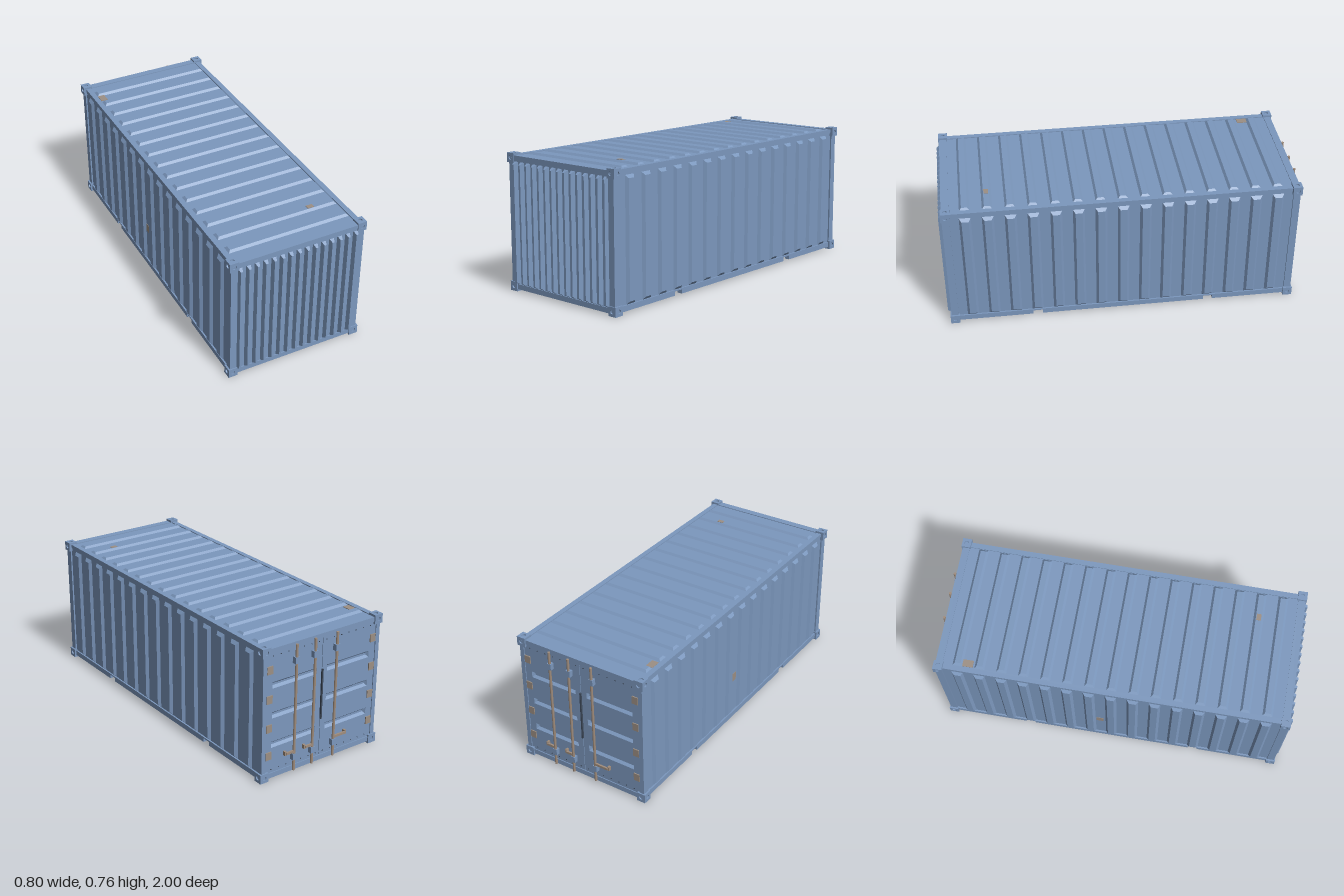
import * as THREE from 'three';

const mat = (name, color) => Object.assign(new THREE.MeshStandardMaterial({ color }), { name });

export function createModel() {
  const model = new THREE.Group();
  model.name = 'shippingContainer';
  const paint = mat('blue paint', 0x7c98be);
  const steel = mat('tan steel', 0xa08d7d);
  const rust = mat('worn patch', 0x9c8f84);
  const dark = mat('dark gasket', 0x3f4b5c);

  const add = (name, geo, material, x, y, z, parent = model) => {
    const m = new THREE.Mesh(geo, material);
    m.name = name;
    m.position.set(x, y, z);
    parent.add(m);
    return m;
  };
  // Box given by its two extreme corners
  const span = (name, x0, x1, y0, y1, z0, z1, material = paint) =>
    add(name, new THREE.BoxGeometry(x1 - x0, y1 - y0, z1 - z0), material,
      (x0 + x1) / 2, (y0 + y1) / 2, (z0 + z1) / 2);

  // Open-backed tapered pressing on the xy plane; negative depth makes a recess
  const pressing = (w, h, insetX, insetY, depth) => {
    const ring = (a, b, z) => [[-a, -b, z], [a, -b, z], [a, b, z], [-a, b, z]];
    const lo = ring(w / 2, h / 2, 0), hi = ring(w / 2 - insetX, h / 2 - insetY, depth);
    const p = [];
    const quad = (a, b, c, d) => p.push(...a, ...b, ...c, ...a, ...c, ...d);
    quad(...hi);
    for (let i = 0; i < 4; i++) {
      const j = (i + 1) % 4;
      quad(lo[i], lo[j], hi[j], hi[i]);
    }
    const g = new THREE.BufferGeometry();
    g.setAttribute('position', new THREE.Float32BufferAttribute(p, 3));
    g.computeVertexNormals();
    return g;
  };

  // Body shell and raised floor
  span('body', -0.381, 0.381, 0.037, 0.749, -0.955, 0.975);

  // Corrugations on both sides and the roof
  const sideRib = pressing(0.064, 0.677, 0.013, 0.017, 0.015);
  const roofRib = pressing(0.706, 0.056, 0.012, 0.012, 0.012);
  for (let i = 0; i < 15; i++) {
    const z = 0.857 - i * 0.1224;
    for (const s of [-1, 1])
      add('sideRib', sideRib, paint, s * 0.381, 0.382, z).rotation.y = s * Math.PI / 2;
    add('roofRib', roofRib, paint, 0, 0.749, z).rotation.x = -Math.PI / 2;
  }
  // Corrugations on the front wall
  const frontRib = pressing(0.026, 0.682, 0.007, 0.015, 0.025);
  for (let i = 0; i < 15; i++)
    add('frontRib', frontRib, paint, -0.339 + i * 0.0484, 0.381, 0.975);

  // Frame: posts, rails, and fork pockets left open in the lower rails
  for (const s of [-1, 1]) {
    const side = (name, a, b, ...r) => span(name, Math.min(s * a, s * b), Math.max(s * a, s * b), ...r);
    side('frontPost', 0.352, 0.39, 0.04, 0.74, 0.94, 0.981);
    side('backPost', 0.365, 0.39, 0.04, 0.74, -0.98, -0.94);
    side('topRail', 0.355, 0.385, 0.735, 0.754, -0.95, 0.95);
    side('bottomRail', 0.36, 0.39, 0.036, 0.044, -0.95, 0.95);
    for (const [a, b] of [[-0.95, -0.518], [-0.464, 0.464], [0.518, 0.95]])
      side('bottomRail', 0.36, 0.39, 0.013, 0.037, a, b);
  }
  span('frontHeader', -0.36, 0.36, 0.721, 0.753, 0.94, 0.982);
  span('frontSill', -0.36, 0.36, 0.012, 0.041, 0.95, 0.982);
  span('backHeader', -0.366, 0.366, 0.727, 0.753, -0.98, -0.94);
  span('backSill', -0.366, 0.366, 0.012, 0.041, -0.98, -0.95);

  // Corner castings: a core wrapped in six plates with round lifting holes
  const face = new THREE.Shape([[-1, -1], [1, -1], [1, 1], [-1, 1]].map(
    ([x, y]) => new THREE.Vector2(x * 0.026, y * 0.026)));
  face.holes.push(new THREE.Path().absarc(0, 0, 0.012, 0, Math.PI * 2, true));
  const plate = new THREE.ExtrudeGeometry(face, { depth: 0.008, bevelEnabled: false, curveSegments: 10 });
  plate.translate(0, 0, 0.018);
  const core = new THREE.BoxGeometry(0.037, 0.037, 0.037);
  for (const x of [-0.374, 0.374]) for (const y of [0.026, 0.739]) for (const z of [-0.961, 0.961]) {
    const casting = new THREE.Group();
    casting.name = 'cornerCasting';
    casting.position.set(x, y, z);
    add('castingCore', core, paint, 0, 0, 0, casting);
    for (let i = 0; i < 4; i++)
      add('castingPlate', plate, paint, 0, 0, 0, casting).rotation.y = i * Math.PI / 2;
    for (const s of [-1, 1])
      add('castingPlate', plate, paint, 0, 0, 0, casting).rotation.x = s * Math.PI / 2;
    model.add(casting);
  }

  // Doors: one leaf each side with three pressed-in panels
  const rows = [0.205, 0.375, 0.545];
  const recess = pressing(0.29, 0.036, 0.01, 0.012, -0.014);
  const rect = (C, x, y, w, h) => new C([[-1, -1], [1, -1], [1, 1], [-1, 1]].map(
    ([a, b]) => new THREE.Vector2(x + a * w / 2, y + b * h / 2)));
  for (const s of [-1, 1]) {
    const leaf = rect(THREE.Shape, s * 0.1835, 0.384, 0.364, 0.686);
    for (const y of rows) leaf.holes.push(rect(THREE.Path, s * 0.18, y, 0.29, 0.036));
    add('door', new THREE.ExtrudeGeometry(leaf, { depth: 0.02, bevelEnabled: false }), paint, 0, 0, -0.975);
    for (const y of rows)
      add('doorRecess', recess, paint, s * 0.18, y, -0.975).rotation.y = Math.PI;
    // Hinges
    for (const y of [0.145, 0.305, 0.47, 0.635])
      span('hinge', s * 0.345 - 0.018, s * 0.345 + 0.018, y - 0.022, y + 0.022, -0.981, -0.974, rust);
  }
  span('doorSeam', -0.004, 0.004, 0.26, 0.55, -0.985, -0.974, dark);

  // Rivets along the door edges
  const rivet = new THREE.CylinderGeometry(0.003, 0.003, 0.004, 6).rotateX(Math.PI / 2);
  for (let i = 0; i < 14; i++) for (const y of [0.06, 0.71])
    add('rivet', rivet, dark, -0.325 + i * 0.05, y, -0.976);

  // Locking rods with guides and handles
  const rod = new THREE.CylinderGeometry(0.0075, 0.0075, 0.725, 10);
  for (const [x, reach] of [[0.185, 0.055], [0.062, 0.05], [-0.084, -0.085]]) {
    add('lockRod', rod, steel, x, 0.381, -0.9915);
    for (const y of [0.1, 0.655])
      span('rodGuide', x - 0.013, x + 0.013, y - 0.018, y + 0.018, -0.9995, -0.974);
    span('rodHandle', Math.min(x, x + reach), Math.max(x, x + reach), 0.125, 0.138, -0.998, -0.988, steel);
    span('handleCatch', x + reach - 0.006, x + reach + 0.006, 0.12, 0.143, -0.992, -0.974, steel);
  }

  // Worn paint patches
  span('rightPatch', 0.38, 0.383, 0.525, 0.565, 0.255, 0.275, rust);
  span('leftPatch', -0.383, -0.38, 0.25, 0.3, -0.085, -0.045, rust);
  span('roofPatch', -0.352, -0.312, 0.748, 0.752, -0.83, -0.772, rust);
  span('roofPatch', 0.187, 0.225, 0.759, 0.763, 0.722, 0.748, rust);
  return model;
}
